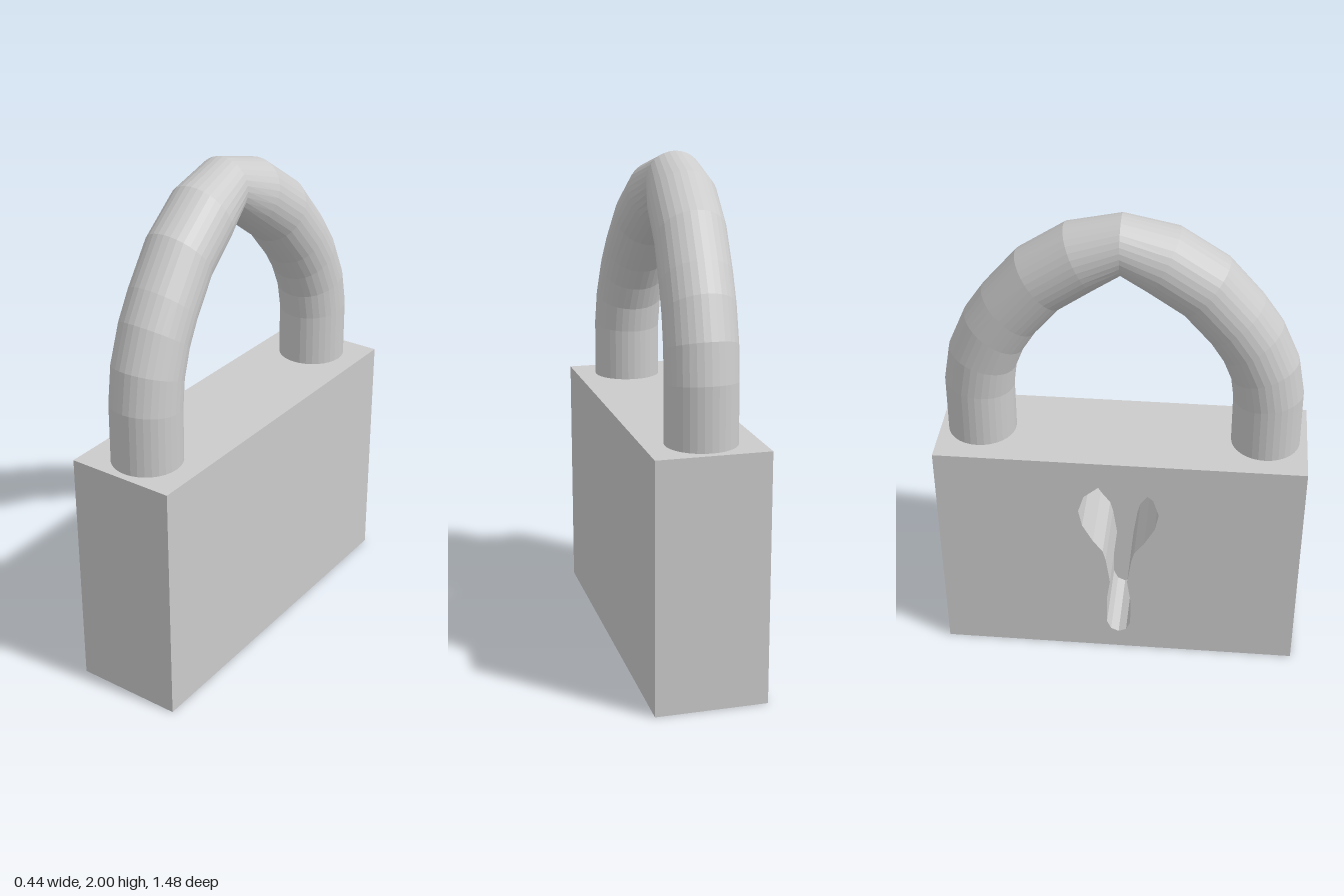
import * as THREE from 'three';

const material = new THREE.MeshStandardMaterial({ color: 0xcccccc, flatShading: true });

function addMesh(parent, name, geometry) {
  const mesh = new THREE.Mesh(geometry, material);
  mesh.name = name;
  parent.add(mesh);
}

// Skin a row of rings, each an array of Vector3, with flat quads
function loft(rings) {
  const sides = rings[0].length;
  const index = [];
  for (let i = 0; i < rings.length - 1; i++) {
    for (let j = 0; j < sides; j++) {
      const k = (j + 1) % sides;
      const a = i * sides + j, b = i * sides + k;
      index.push(a, b, b + sides, a, b + sides, a + sides);
    }
  }
  const geometry = new THREE.BufferGeometry().setFromPoints(rings.flat());
  geometry.setIndex(index);
  const flat = geometry.toNonIndexed();
  flat.computeVertexNormals();
  return flat;
}

// Lock body: a slab with a blind keyhole on the -x face
function createBody() {
  const body = new THREE.Group();
  body.name = 'body';
  const halfX = 0.22, halfZ = 0.74, height = 0.99, holeDepth = 0.32;

  const outline = new THREE.Shape([
    new THREE.Vector2(-halfZ, 0), new THREE.Vector2(halfZ, 0),
    new THREE.Vector2(halfZ, height), new THREE.Vector2(-halfZ, height),
  ]);

  // Half of the keyhole, top to bottom, then mirrored
  const half = [
    [0, 0.89], [0.08, 0.872], [0.14, 0.82], [0.163, 0.745], [0.148, 0.67], [0.105, 0.59], [0.065, 0.535],
    [0.053, 0.49], [0.036, 0.37], [0.05, 0.27], [0.05, 0.14], [0.032, 0.1], [0, 0.085],
  ];
  const mirrored = half.slice(1, -1).reverse().map(([z, y]) => [-z, y]);
  outline.holes.push(new THREE.Path([...half, ...mirrored].map(([z, y]) => new THREE.Vector2(z, y))));

  const slab = new THREE.ExtrudeGeometry(outline, { depth: holeDepth, bevelEnabled: false });
  slab.rotateY(-Math.PI / 2);
  slab.translate(holeDepth - halfX, 0, 0);
  addMesh(body, 'keyholeSlab', slab);

  // Solid plate that closes the keyhole
  const thickness = 2 * halfX - holeDepth;
  const plate = new THREE.BoxGeometry(thickness, height, 2 * halfZ);
  plate.translate(halfX - thickness / 2, height / 2, 0);
  addMesh(body, 'closingPlate', plate);
  return body;
}

// Shackle: pointed arch that leans towards -x, mirrored about z = 0
function createShackleGeometry() {
  // Each ring: outer z, outer y, inner z, inner y, centre x, radius along x
  const sections = [
    [0.71, 0.99, 0.435, 0.99, 0, 0.138],
    [0.708, 1.235, 0.434, 1.2, 0, 0.138],
    [0.68, 1.39, 0.42, 1.3, -0.004, 0.138],
    [0.61, 1.55, 0.385, 1.39, -0.011, 0.138],
    [0.535, 1.66, 0.333, 1.475, -0.018, 0.138],
    [0.4, 1.82, 0.23, 1.6, -0.031, 0.138],
    [0.215, 1.945, 0.095, 1.7, -0.044, 0.137],
    [0, 2, 0, 1.77, -0.058, 0.117],
  ];
  const mirrored = sections.slice(0, -1).reverse()
    .map(([oz, oy, iz, iy, x, r]) => [-oz, oy, -iz, iy, x, r]);
  const sides = 32;
  return loft([...sections, ...mirrored].map(([oz, oy, iz, iy, x, r]) =>
    Array.from({ length: sides }, (_, j) => {
      const angle = (j / sides) * Math.PI * 2;
      const t = (1 + Math.cos(angle)) / 2;
      return new THREE.Vector3(x + r * Math.sin(angle), iy + (oy - iy) * t, iz + (oz - iz) * t);
    })));
}

export function createModel() {
  const model = new THREE.Group();
  model.name = 'padlock';
  model.add(createBody());
  addMesh(model, 'shackle', createShackleGeometry());
  return model;
}
